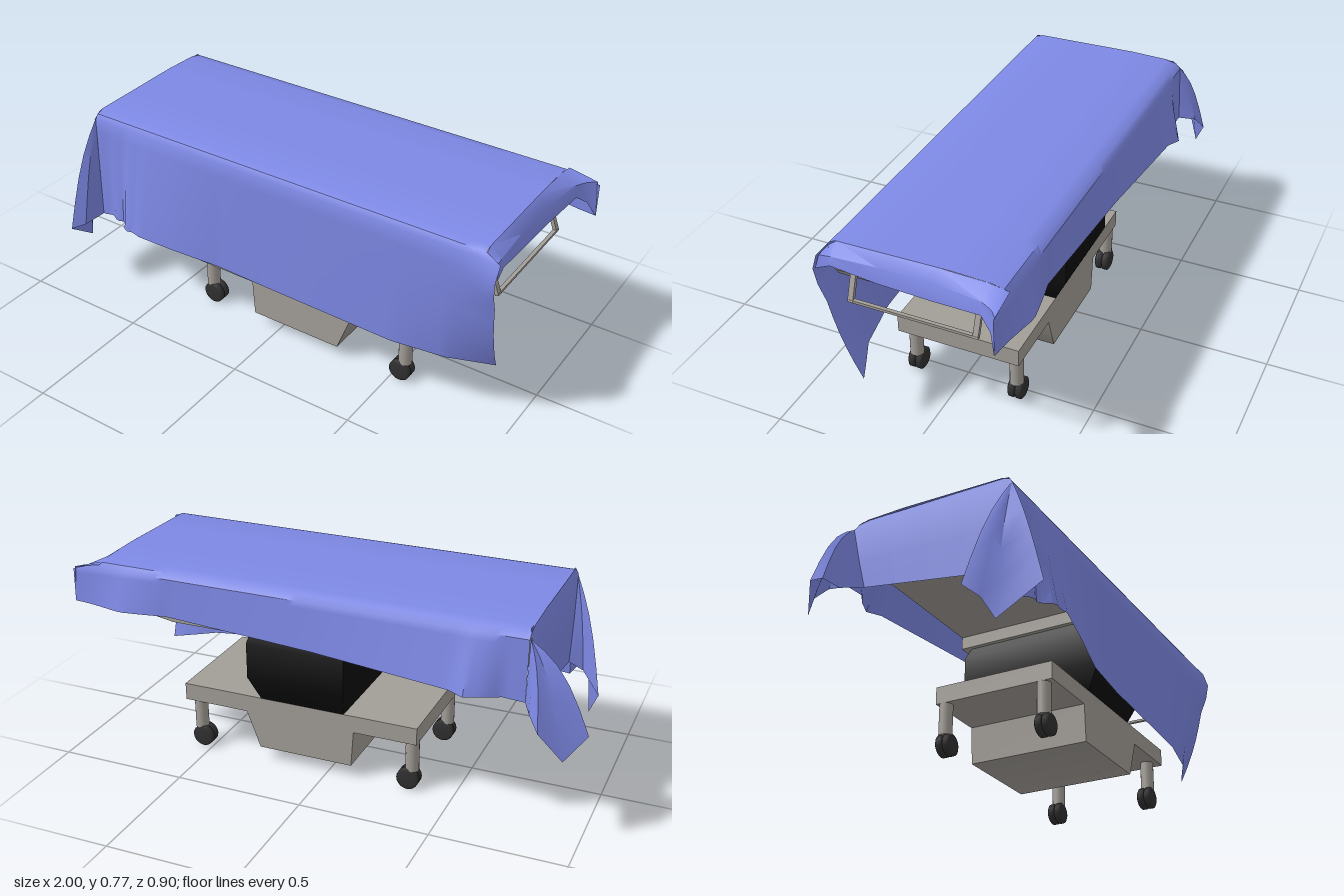
import * as THREE from 'three';
import { toCreasedNormals } from 'three/addons/utils/BufferGeometryUtils.js';
import { ConvexGeometry } from 'three/addons/geometries/ConvexGeometry.js';

const V = (x, y, z) => new THREE.Vector3(x, y, z);
const metal = new THREE.MeshStandardMaterial({ color: 0xa29d97 });
const black = new THREE.MeshStandardMaterial({ color: 0x0e0e0e });
const rubber = new THREE.MeshStandardMaterial({ color: 0x303030 });
const cloth = new THREE.MeshStandardMaterial({ color: 0x7d88e4, side: THREE.DoubleSide });

// Piecewise linear lookup in rows of [key, a, b, ...]
function lookup(keys, k) {
  let i = 0;
  while (i < keys.length - 2 && k > keys[i + 1][0]) i++;
  const [a, b] = [keys[i], keys[i + 1]];
  const t = THREE.MathUtils.clamp((k - a[0]) / (b[0] - a[0]), 0, 1);
  return a.slice(1).map((v, j) => v + (b[j + 1] - v) * t);
}

// Surface through rows of points
function sheet(rows) {
  const n = rows[0].length, index = [];
  for (let i = 0; i < rows.length - 1; i++)
    for (let j = 0; j < n - 1; j++) {
      const a = i * n + j, b = a + n;
      index.push(a, a + 1, b, a + 1, b + 1, b);
    }
  const g = new THREE.BufferGeometry().setFromPoints(rows.flat());
  g.setIndex(index);
  return toCreasedNormals(g, 0.6);
}

// Softly shaded tapered block through rectangles [y, x0, x1, z0, z1]
const block = (rects) => toCreasedNormals(new ConvexGeometry(rects.flatMap(([y, x0, x1, z0, z1]) =>
  [V(x0, y, z0), V(x1, y, z0), V(x1, y, z1), V(x0, y, z1)])), 1.3);

// Hem lines of the long sides: x, hem height, hem z
const frontHem = [[-0.78, 0.315, 0.315], [-0.7, 0.325, 0.32], [-0.62, 0.33, 0.365], [-0.55, 0.33, 0.385],
  [-0.4, 0.31, 0.36], [-0.2, 0.285, 0.32], [0, 0.27, 0.31], [0.55, 0.25, 0.3], [0.74, 0.243, 0.265], [0.88, 0.23, 0.19]];
const backHem = [[-0.78, 0.51, -0.36], [-0.7, 0.515, -0.36], [-0.64, 0.52, -0.4], [-0.58, 0.52, -0.425],
  [-0.52, 0.525, -0.4], [0, 0.56, -0.373], [0.6, 0.59, -0.358], [0.75, 0.59, -0.39], [0.84, 0.59, -0.36], [0.88, 0.59, -0.352]];

// Point on a hanging side, s = 0 at the top edge and 1 at the hem
function hang(front, x, s) {
  const [hy, hz] = lookup(front ? frontHem : backHem, x);
  const flare = Math.max(0, (x - 0.6) / 0.28) ** 2;
  const topY = front ? 0.735 : 0.735 - 0.015 * flare;
  const topZ = front ? 0.305 : -0.348;
  const pleat = Math.sin(Math.PI * THREE.MathUtils.clamp((x + 0.78) / 0.24, 0, 1));
  const fold = front ? 0.014 * Math.sin(x * 70) * pleat * s : 0;
  const puff = front ? 0.03 * flare ** 2 * Math.exp(-(((s - 0.17) / 0.12) ** 2)) : 0;
  const dx = flare * (front ? 0.06 - 0.03 * s : 0.12);
  const tuck = front && hz < topZ ? s ** 2.2 : s;
  return V(x + dx, topY + (hy - topY) * s, topZ + (hz - topZ) * tuck + fold + puff);
}

// Loose corner: rays fanning from the corner to a row of hem points, bulging outwards
function cornerFlap(corner, hem) {
  return sheet([0, 0.2, 0.4, 0.6, 0.8, 1].map((s) => hem.map((p, i) => {
    const q = corner.clone().lerp(p, s);
    const bulge = Math.sin(Math.PI * i / (hem.length - 1)) * Math.sin(Math.PI * s);
    q.y += 0.05 * bulge;
    q.x -= 0.01 * bulge;
    return q;
  })));
}

export function createModel() {
  const model = new THREE.Group();
  const add = (name, geometry, material, parent = model) => {
    const mesh = new THREE.Mesh(geometry, material);
    mesh.name = name;
    parent.add(mesh);
    return mesh;
  };

  // Draped cover: top and both long sides
  const cover = new THREE.Group();
  cover.name = 'cover';
  model.add(cover);
  const steps = [0, 1, 2, 3, 4, 5, 6, 7, 8].map((i) => i / 8);
  const rows = [];
  for (let i = 0; i <= 83; i++) {
    const x = -0.78 + 0.02 * i;
    rows.push([
      ...steps.slice().reverse().map((s) => hang(false, x, s)),
      V(x, 0.755, -0.33), V(x, 0.765, -0.29), V(x, 0.77, -0.14), V(x, 0.767, 0.1), V(x, 0.765, 0.265), V(x, 0.755, 0.292),
      ...steps.map((s) => hang(true, x, s)),
    ]);
  }
  add('coverTopAndSides', sheet(rows), cloth, cover);

  // Short lip over the left end: z, top height, hem x, hem height
  const lip = [[-0.35, 0.752, 1, 0.59], [-0.325, 0.757, 0.97, 0.65], [-0.28, 0.765, 0.945, 0.685], [-0.1, 0.77, 0.922, 0.665],
    [0.1, 0.767, 0.922, 0.673], [0.265, 0.765, 0.932, 0.7], [0.318, 0.74, 0.938, 0.68]];
  add('coverLip', sheet([
    lip.map(([z, y]) => V(0.88, y, Math.min(z, 0.3))),
    lip.map(([z, , x]) => V(x - 0.01, 0.73, Math.min(z, 0.306))),
    lip.map(([z, , x, y]) => V(x, y, z)),
  ]), cloth, cover);

  // Hanging sheet at the right end: x, heights back and front, z back and front
  const across = [0, 0.08, 0.25, 0.5, 0.75, 0.92, 1];
  add('coverEnd', sheet([[-0.775, 0.765, 0.765, -0.32, 0.285], [-0.785, 0.735, 0.735, -0.348, 0.305],
    [-0.79, 0.6, 0.57, -0.315, 0.27], [-0.79, 0.48, 0.4, -0.28, 0.24]].map(([x, y0, y1, z0, z1]) =>
    across.map((t) => V(x, y0 + (y1 - y0) * t, z0 + (z1 - z0) * t)))), cloth, cover);

  // Loose corners of the right end
  add('backCorner', cornerFlap(V(-0.782, 0.738, -0.346), [V(-0.79, 0.48, -0.28), V(-0.9, 0.43, -0.3), V(-0.98, 0.43, -0.31),
    V(-1, 0.42, -0.345), V(-0.93, 0.335, -0.4), V(-0.85, 0.45, -0.45), V(-0.81, 0.5, -0.42), V(-0.78, 0.51, -0.36)]), cloth, cover);
  add('frontCorner', cornerFlap(V(-0.782, 0.738, 0.303), [V(-0.79, 0.4, 0.24), V(-0.84, 0.36, 0.27), V(-0.92, 0.3, 0.2),
    V(-0.9, 0.25, 0.26), V(-0.87, 0.175, 0.3), V(-0.83, 0.295, 0.45), V(-0.79, 0.31, 0.41), V(-0.78, 0.315, 0.315)]), cloth, cover);

  // Table top, stepped underneath and sloping up to its left end
  const side = new THREE.Shape([[-0.76, 0.7], [-0.76, 0.6], [-0.1, 0.6], [-0.1, 0.55], [0.6, 0.55], [0.75, 0.575], [0.85, 0.61],
    [0.866, 0.635], [0.862, 0.66], [0.87, 0.663], [0.87, 0.685], [0.85, 0.7]].map(([x, y]) => new THREE.Vector2(x, y)));
  const table = new THREE.ExtrudeGeometry(side, { depth: 0.6, bevelEnabled: false });
  table.translate(0, 0, -0.31);
  add('tableTop', toCreasedNormals(table, 0.5), metal);

  // Rail at the left end
  for (const z of [0.217, -0.24]) {
    const arm = add('railArm', new THREE.BoxGeometry(0.014, 0.1, 0.02), metal);
    arm.position.set(0.885, 0.597, z);
    arm.rotation.z = 0.35;
  }
  const bar = add('railBar', new THREE.BoxGeometry(0.014, 0.01, 0.47), metal);
  bar.position.set(0.9, 0.554, -0.012);

  // Column, base and motor housing
  add('column', block([[0.265, -0.07, 0.27, -0.25, 0.23], [0.31, -0.08, 0.28, -0.267, 0.25], [0.37, -0.09, 0.3, -0.3, 0.28],
    [0.51, -0.09, 0.3, -0.3, 0.28], [0.56, -0.08, 0.29, -0.27, 0.255]]), black);
  add('base', block([[0.197, -0.36, 0.6, -0.25, 0.23], [0.265, -0.36, 0.6, -0.25, 0.23]]), metal);
  add('motorHousing', block([[0.053, -0.1, 0.28, -0.25, 0.23], [0.2, -0.11, 0.335, -0.25, 0.23]]), metal);

  // Legs with twin castors
  const tyre = [[0, -0.014], [0.034, -0.014], [0.043, -0.008], [0.043, 0.008], [0.034, 0.014], [0, 0.014]]
    .map(([r, h]) => new THREE.Vector2(r, h));
  for (const [x, wheelX] of [[-0.335, 0.012], [0.55, -0.012]])
    for (const z of [0.185, -0.22]) {
      const caster = new THREE.Group();
      caster.name = 'castorLeg';
      caster.position.set(x, 0, z);
      model.add(caster);
      add('leg', new THREE.CylinderGeometry(0.026, 0.026, 0.13, 16), metal, caster).position.y = 0.14;
      for (const s of [-1, 1]) {
        const wheel = add('wheel', new THREE.LatheGeometry(tyre, 20), rubber, caster);
        wheel.rotation.x = Math.PI / 2;
        wheel.position.set(wheelX, 0.043, s * 0.014);
      }
    }
  return model;
}
